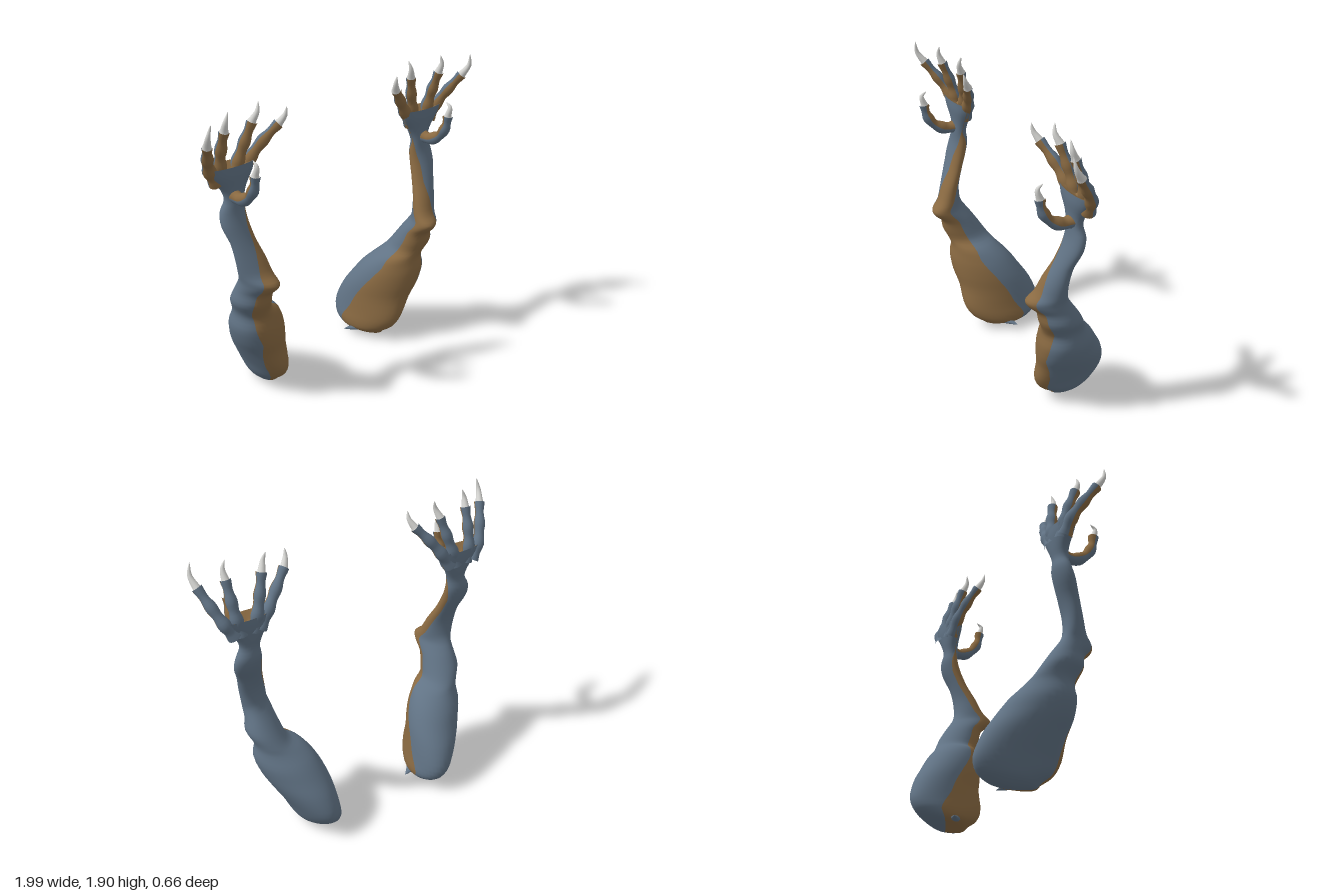
import * as THREE from 'three';

const skinBlue = new THREE.MeshStandardMaterial({ color: 0x617385 });
skinBlue.name = 'slate blue skin';
const skinBrown = new THREE.MeshStandardMaterial({ color: 0x8a6a42 });
skinBrown.name = 'brown underside';
const clawWhite = new THREE.MeshStandardMaterial({ color: 0xd6d6d3 });
clawWhite.name = 'pale claw';

// limb outline: height, inner x, outer x, back z, front z
const PROFILE = [
  [0.0, 0.45, 0.45, -0.08, -0.08],
  [0.015, 0.40, 0.49, -0.15, 0.03],
  [0.05, 0.315, 0.53, -0.23, 0.07],
  [0.1, 0.295, 0.56, -0.3, 0.135],
  [0.18, 0.305, 0.595, -0.328, 0.172],
  [0.3, 0.32, 0.66, -0.29, 0.176],
  [0.4, 0.34, 0.71, -0.23, 0.198],
  [0.5, 0.38, 0.738, -0.165, 0.205],
  [0.58, 0.44, 0.728, -0.095, 0.195],
  [0.63, 0.515, 0.735, -0.06, 0.205],
  [0.7, 0.54, 0.765, -0.02, 0.235],
  [0.77, 0.555, 0.755, 0.025, 0.25],
  [0.82, 0.56, 0.75, 0.06, 0.3],
  [0.86, 0.567, 0.75, 0.085, 0.315],
  [0.91, 0.58, 0.76, 0.1, 0.265],
  [1.0, 0.6, 0.775, 0.1, 0.225],
  [1.1, 0.628, 0.79, 0.075, 0.18],
  [1.2, 0.645, 0.82, 0.035, 0.142],
  [1.28, 0.652, 0.815, 0.018, 0.118],
  [1.35, 0.658, 0.785, 0.028, 0.112],
  [1.42, 0.635, 0.805, 0.018, 0.11],
  [1.5, 0.59, 0.865, 0.01, 0.12],
  [1.56, 0.568, 0.9, 0.012, 0.12],
];
// height, skew, brown start angle, brown end angle (degrees, 90 = front)
const PAINT = [
  [0.0, 0.1, 60, 200],
  [0.1, 0.25, 45, 192],
  [0.2, 0.25, 38, 175],
  [0.4, 0.25, 56, 163],
  [0.53, 0.2, 50, 152],
  [0.62, 0, 48, 165],
  [0.72, -0.1, 62, 172],
  [0.85, -0.4, 70, 192],
  [1.0, -0.25, 94, 212],
  [1.1, 0, 117, 217],
  [1.2, 0, 126, 215],
  [1.3, 0, 146, 195],
  [1.36, 0, 169, 172],
  [1.6, 0, 169, 172],
];

// fingers: path points, then claw base direction point and claw tip
const FINGERS = [
  { path: [[0.66, 1.46, 0.05], [0.595, 1.56, 0.06], [0.525, 1.655, 0.09], [0.445, 1.75, 0.135]], bend: [0.42, 1.80, 0.16], tip: [0.416, 1.852, 0.172] },
  { path: [[0.7, 1.46, 0.05], [0.67, 1.56, 0.05], [0.637, 1.67, 0.07], [0.603, 1.79, 0.1]], bend: [0.582, 1.845, 0.12], tip: [0.567, 1.9, 0.112] },
  { path: [[0.775, 1.46, 0.05], [0.797, 1.56, 0.055], [0.807, 1.67, 0.085], [0.812, 1.79, 0.13]], bend: [0.815, 1.845, 0.15], tip: [0.798, 1.9, 0.152] },
  { path: [[0.82, 1.46, 0.045], [0.872, 1.55, 0.06], [0.918, 1.65, 0.115], [0.962, 1.755, 0.185]], bend: [0.98, 1.82, 0.225], tip: [0.968, 1.895, 0.238] },
];
const THUMB = { path: [[0.73, 1.375, 0.07], [0.733, 1.375, 0.16], [0.735, 1.42, 0.238], [0.736, 1.49, 0.283], [0.736, 1.565, 0.298]], bend: [0.736, 1.62, 0.312], tip: [0.736, 1.648, 0.278] };

// Skins closed rings of points; the first `split` segments take material 0
function skin(rings, split, materials, mirrored, name) {
  const n = rings[0].length, index = [], groups = [];
  for (const [from, to] of [[0, split], [split, n]]) {
    const start = index.length;
    for (let i = 0; i < rings.length - 1; i++) {
      for (let j = from; j < to; j++) {
        const a = i * n + j, b = i * n + (j + 1) % n, c = a + n, d = b + n;
        if (mirrored) index.push(a, b, c, b, d, c);
        else index.push(a, c, b, b, c, d);
      }
    }
    groups.push([start, index.length - start]);
  }
  const points = rings.flat().map((p) => new THREE.Vector3(mirrored ? -p.x : p.x, p.y, p.z));
  const geometry = new THREE.BufferGeometry().setFromPoints(points);
  geometry.setIndex(index);
  if (Array.isArray(materials)) groups.forEach(([s, c], k) => geometry.addGroup(s, c, k));
  geometry.computeVertexNormals();
  const mesh = new THREE.Mesh(geometry, materials);
  mesh.name = name;
  return mesh;
}

// Round rings along a curve, the first half of each ring facing forward
function tubeRings(points, radius, steps, sides) {
  const curve = new THREE.CatmullRomCurve3(points.map((p) => new THREE.Vector3(...p)));
  const rings = [];
  for (let i = 0; i <= steps; i++) {
    const u = i / steps, p = curve.getPoint(u), t = curve.getTangent(u);
    const side = new THREE.Vector3(1, 0, 0).addScaledVector(t, -t.x).normalize();
    const front = side.clone().cross(t);
    rings.push(Array.from({ length: sides }, (_, j) => {
      const a = (j / sides) * Math.PI * 2, r = radius(u);
      return p.clone().addScaledVector(side, r * Math.cos(a)).addScaledVector(front, r * Math.sin(a));
    }));
  }
  return rings;
}

// Thigh, knee, shin and palm as one smooth loft
function limbRings() {
  const shape = new THREE.CubicInterpolant(PROFILE.map((_, i) => i), PROFILE.flat(), 5);
  const paint = new THREE.LinearInterpolant(PAINT.map((r) => r[0]), PAINT.flatMap((r) => r.slice(1)), 3);
  const rings = [], steps = (PROFILE.length - 1) * 3;
  for (let i = 0; i <= steps; i++) {
    const [y, x0, x1, z0, z1] = shape.evaluate(i / 3);
    const [skew, d0, d1] = paint.evaluate(y);
    const b0 = THREE.MathUtils.degToRad(d0), b1 = THREE.MathUtils.degToRad(d1);
    rings.push(Array.from({ length: 36 }, (_, j) => {
      const a = j < 12 ? b0 + (b1 - b0) * j / 12 : b1 + (b0 + Math.PI * 2 - b1) * (j - 12) / 24;
      return new THREE.Vector3(
        (x0 + x1) / 2 + (x1 - x0) / 2 * Math.cos(a), Math.max(y, 0),
        (z0 + z1) / 2 + (z1 - z0) / 2 * Math.sin(a + skew));
    }));
  }
  return rings;
}

function createLimb(mirrored) {
  const limb = new THREE.Group();
  limb.name = mirrored ? 'rightLimb' : 'leftLimb';
  const twoTone = [skinBrown, skinBlue];
  const rings = limbRings();
  limb.add(skin(rings, 12, twoTone, mirrored, 'limbAndPalm'));

  // hollow inside the top edge of the palm
  const rim = rings[rings.length - 1];
  const centre = new THREE.Vector3(0.735, 1.52, 0.065);
  const cup = [0, 0.25, 0.6, 1].map((k) => rim.map((p) => p.clone().lerp(centre, k)));
  limb.add(skin(cup, 0, skinBrown, mirrored, 'palmHollow'));

  // fingers with swollen knuckles, and the opposing thumb
  [...FINGERS, THUMB].forEach((f, i) => {
    const isThumb = f === THUMB, name = isThumb ? 'thumb' : 'finger' + (i + 1);
    const radius = (u) => (isThumb ? 0.046 - 0.018 * Math.sqrt(u) : 0.041 - 0.013 * u)
      + 0.004 * Math.cos(u * Math.PI * 6);
    const colours = isThumb ? [skinBlue, skinBrown] : twoTone;
    limb.add(skin(tubeRings(f.path, radius, 18, 14), 7, colours, mirrored, name));
    const base = f.path[f.path.length - 1];
    const start = base.map((v, k) => v - (f.bend[k] - v) * 0.35);
    const clawRadius = (u) => (isThumb ? 0.029 : 0.032) * Math.pow(1 - u, 0.75) * Math.min(1, 0.55 + u * 3);
    limb.add(skin(tubeRings([start, base, f.bend, f.tip], clawRadius, 12, 12), 0, clawWhite, mirrored, name + 'Claw'));
  });

  // small flap at the inner bottom edge of the thigh
  const flap = tubeRings([[0.37, 0.07, -0.05], [0.31, 0.055, -0.085], [0.26, 0.05, -0.11]],
    (u) => 0.045 * (1 - u) + 0.001, 5, 10);
  flap.flat().forEach((p) => { p.y = 0.055 + (p.y - 0.055) * 0.6; });
  limb.add(skin(flap, 0, skinBlue, mirrored, 'thighFlap'));
  return limb;
}

export function createModel() {
  const model = new THREE.Group();
  model.name = 'clawedLimbs';
  model.add(createLimb(false), createLimb(true));
  return model;
}
